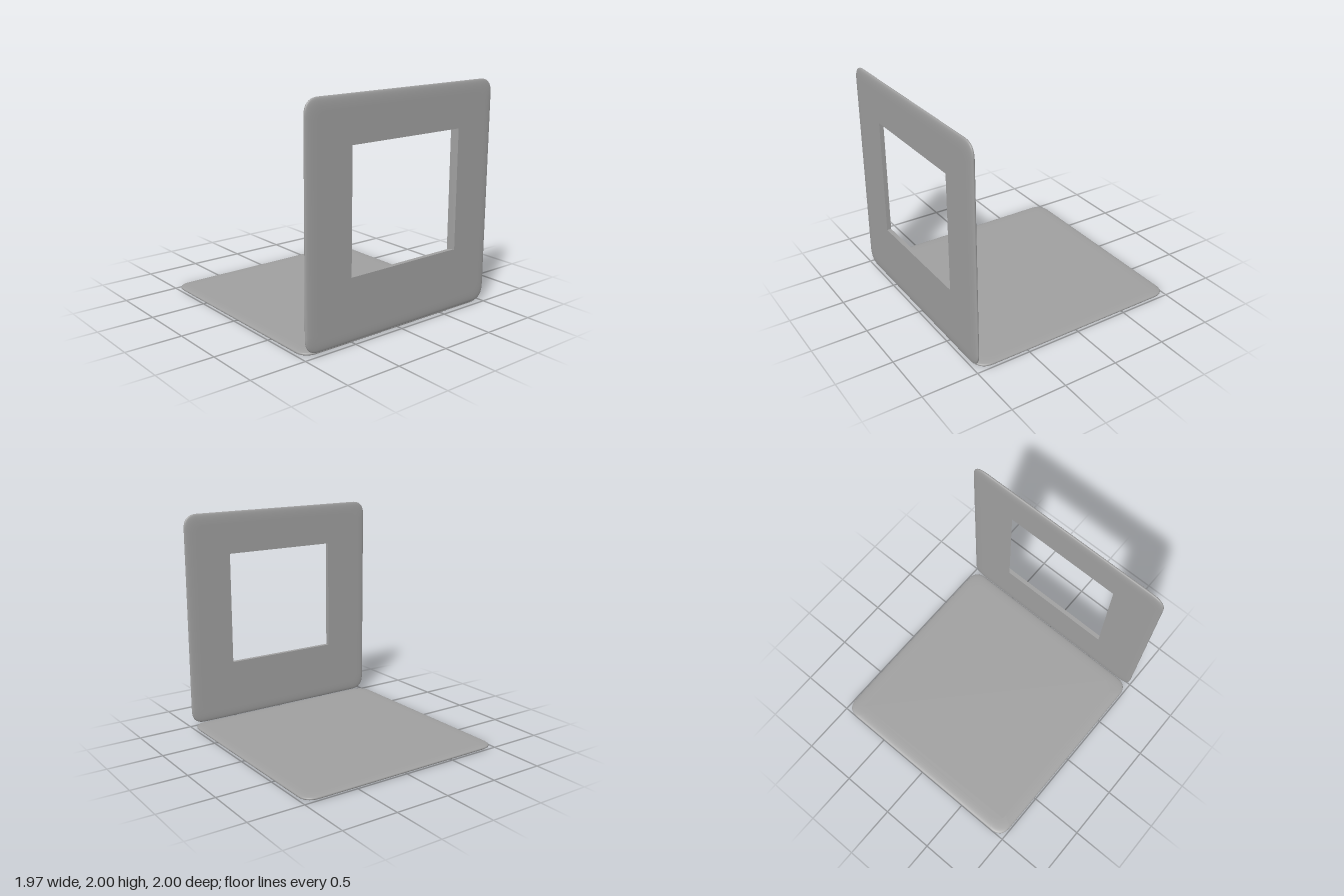
import * as THREE from 'three';

const HALF_X = 0.987, HALF_Y = 0.985, THICK = 0.0195, RIM = 0.1;
const material = new THREE.MeshStandardMaterial({ color: 0x9f9f9f });

// Square outline with softly curved corners, pulled in by inset
function outline(inset) {
  const a = HALF_X - inset, b = HALF_Y - inset, c = 0.13 - inset * 0.4, pts = [];
  for (const [sx, sy] of [[1, 1], [-1, 1], [-1, -1], [1, -1]]) {
    const ends = [new THREE.Vector2(sx * a, sy * (b - c)), new THREE.Vector2(sx * (a - c), sy * b)];
    if (sx * sy < 0) ends.reverse();
    const corner = new THREE.QuadraticBezierCurve(ends[0], new THREE.Vector2(sx * a, sy * b), ends[1]);
    pts.push(...corner.getPoints(12));
  }
  return pts;
}

// Skin between closed loops of 3D points
function loft(loops) {
  const n = loops[0].length, index = [];
  for (let r = 0; r < loops.length - 1; r++) {
    for (let i = 0; i < n; i++) {
      const a = r * n + i, b = r * n + (i + 1) % n;
      index.push(a, b, b + n, a, b + n, a + n);
    }
  }
  const g = new THREE.BufferGeometry().setFromPoints(loops.flat());
  g.setIndex(index);
  g.computeVertexNormals();
  return g;
}

function addMesh(group, name, geometry) {
  const mesh = new THREE.Mesh(geometry, material);
  mesh.name = name;
  group.add(mesh);
}

const at = (pts, z) => pts.map(p => new THREE.Vector3(p.x, p.y, z));

// Corners of a rectangle, counter-clockwise from the lower left
const rect = (x0, x1, y0, y1) =>
  [[x0, y0], [x1, y0], [x1, y1], [x0, y1]].map(([x, y]) => new THREE.Vector2(x, y));

// Thin cushion-edged panel, optionally with an opening given on its front and back face
function makePanel(name, opening) {
  const group = new THREE.Group();
  group.name = name;

  // Rounded rim, flattening towards the faces
  const loops = [], steps = 20;
  for (let i = 0; i <= steps; i++) {
    const t = Math.PI * (i / steps - 0.5);
    loops.push(at(outline(RIM * Math.pow(1 - Math.cos(t), 1.4)), THICK * Math.sin(t)));
  }
  addMesh(group, name + 'Rim', loft(loops));

  // Flat faces; the back one is drawn mirrored, then turned around
  const frontShape = new THREE.Shape(outline(RIM));
  const backShape = new THREE.Shape(outline(RIM));
  if (opening) {
    frontShape.holes.push(new THREE.Path(opening.front));
    backShape.holes.push(new THREE.Path(opening.back.map(p => new THREE.Vector2(-p.x, p.y))));
  }
  addMesh(group, name + 'FrontFace', new THREE.ShapeGeometry(frontShape).translate(0, 0, THICK));
  addMesh(group, name + 'BackFace',
    new THREE.ShapeGeometry(backShape).rotateY(Math.PI).translate(0, 0, -THICK));

  // Crisp walls of the opening
  if (opening) {
    const walls = loft([at(opening.front, THICK), at(opening.back, -THICK)]).toNonIndexed();
    walls.computeVertexNormals();
    addMesh(group, name + 'OpeningWalls', walls);
  }
  return group;
}

export function createModel() {
  const model = new THREE.Group();
  model.name = 'hingedPanels';

  // Upright panel; one side of its opening is splayed towards the front
  const low = -0.447, high = 0.596;
  const upright = makePanel('uprightPanel', {
    front: rect(-0.548, 0.595, low, high),
    back: rect(-0.548, 0.546, low, high),
  });
  upright.position.set(0, 2 - HALF_Y, 1 - THICK);
  model.add(upright);

  // Flat base panel
  const base = makePanel('basePanel');
  base.rotation.x = -Math.PI / 2;
  base.position.set(0, THICK, HALF_Y - 1);
  model.add(base);
  return model;
}
